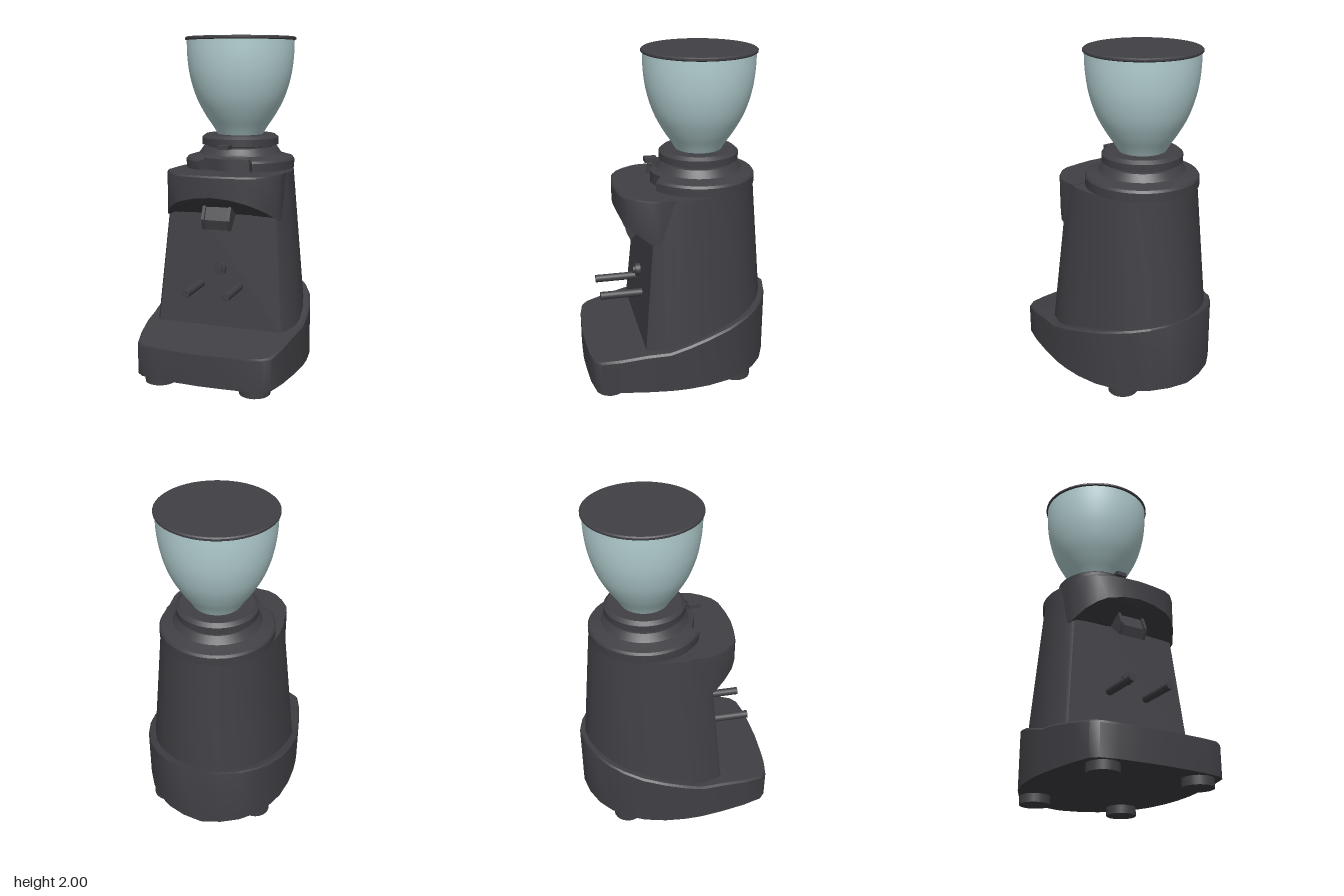
import * as THREE from 'three';
import { toCreasedNormals } from 'three/addons/utils/BufferGeometryUtils.js';

const V = (x, y, z) => new THREE.Vector3(x, y, z);

// Closed solid through rings of equal length, with fan caps at both ends
function loft(rings, crease = 0.6) {
  const n = rings[0].length, pos = [];
  let volume = 0;
  const tris = [];
  const tri = (a, b, c) => {
    tris.push([a, b, c]);
    volume += a.dot(b.clone().cross(c));
  };
  for (let i = 0; i < rings.length - 1; i++) {
    for (let j = 0; j < n; j++) {
      const k = (j + 1) % n;
      const a = rings[i][j], b = rings[i][k], c = rings[i + 1][k], d = rings[i + 1][j];
      tri(a, b, c);
      tri(a, c, d);
    }
  }
  const cap = (ring, flip) => {
    const mid = ring.reduce((s, p) => s.add(p), V(0, 0, 0)).divideScalar(n);
    ring.forEach((p, j) => {
      const q = ring[(j + 1) % n];
      flip ? tri(mid, q, p) : tri(mid, p, q);
    });
  };
  cap(rings[0], true);
  cap(rings[rings.length - 1], false);
  for (const [a, b, c] of tris) {
    const order = volume > 0 ? [a, b, c] : [a, c, b];
    for (const p of order) pos.push(p.x, p.y, p.z);
  }
  const g = new THREE.BufferGeometry();
  g.setAttribute('position', new THREE.Float32BufferAttribute(pos, 3));
  return toCreasedNormals(g, crease);
}

const lathe = (points, segments = 48) =>
  new THREE.LatheGeometry(points.map(([r, y]) => new THREE.Vector2(r, y)), segments);

// Side profile of (z, y) points given a width across x
function sideSlab(points, x0, x1) {
  return loft([x0, x1].map(x => points.map(([z, y]) => V(x, y, z))), 0.3);
}

// Linear lookup in a sorted list of [key, value]
function lookup(table, t) {
  for (let i = 1; i < table.length; i++) {
    const [a, va] = table[i - 1], [b, vb] = table[i];
    if (t <= b) return va + (vb - va) * Math.max(0, (t - a) / (b - a));
  }
  return table[table.length - 1][1];
}

export function createModel() {
  const model = new THREE.Group();
  const dark = new THREE.MeshStandardMaterial({ color: 0x404045 });
  dark.name = 'charcoal';
  const glass = new THREE.MeshStandardMaterial({ color: 0xb4d0d2, side: THREE.DoubleSide });
  glass.name = 'pale teal';
  const add = (name, geometry, x = 0, y = 0, z = 0, material = dark) => {
    const mesh = new THREE.Mesh(geometry, material);
    mesh.name = name;
    mesh.position.set(x, y, z);
    model.add(mesh);
    return mesh;
  };
  const axisZ = -0.15;

  // Base: half widths along z, with a top that climbs to the back
  const baseWidths = [[-0.585, 0.004], [-0.56, 0.12], [-0.51, 0.23], [-0.44, 0.315], [-0.36, 0.38],
    [-0.25, 0.435], [-0.12, 0.468], [0.0, 0.48], [0.08, 0.48], [0.12, 0.478], [0.25, 0.463],
    [0.4, 0.438], [0.52, 0.405], [0.555, 0.365], [0.574, 0.27], [0.582, 0.15], [0.588, 0.01]];
  const baseTop = [[-0.585, 0.485], [-0.36, 0.435], [-0.12, 0.375], [0.12, 0.305], [0.25, 0.295], [0.59, 0.235]];
  add('base', loft(baseWidths.map(([z, w]) => {
    const t = lookup(baseTop, z), b = Math.min(0.012, w * 0.3);
    return [[-w, 0.05], [w, 0.05], [w, t - b], [w - b, t], [b - w, t], [-w, t - b]].map(([x, y]) => V(x, y, z));
  })));

  // Feet
  for (const x of [-0.29, 0.29]) {
    for (const z of [0.457, -0.333]) {
      add('foot', new THREE.CylinderGeometry(0.09, 0.09, 0.06, 24), x, 0.03, z);
    }
  }

  // Tapered body, rounded behind and flat in front
  const half = [[0.11, -0.545], [0.21, -0.495], [0.3, -0.42], [0.365, -0.33], [0.415, -0.2],
    [0.443, -0.06], [0.45, 0.06], [0.436, 0.13], [0.4, 0.232], [0.385, 0.25]];
  const outline = [[0, -0.57], ...half, ...half.map(([x, z]) => [-x, z]).reverse()];
  add('body', loft([[0.28, 1], [1.21, 0.8]].map(([y, s]) =>
    outline.map(([x, z]) => V(x * s, y, -0.16 + (z + 0.16) * s)))));

  // Overhanging head with an arched lower rim: [x, front z, rim y]
  const headHalf = [[0.352, 0.15, 0.938], [0.342, 0.2, 0.95], [0.3, 0.27, 1.0], [0.25, 0.323, 1.035],
    [0.2, 0.35, 1.058], [0.1, 0.366, 1.082]];
  const head = [...headHalf.map(([x, z, y]) => [-x, z, y]), [0, 0.373, 1.09], ...headHalf.slice().reverse()];
  add('head', loft(head.map(([x, z, y]) => [
    V(x, 1.213, 0.05), V(x, 1.213, z - 0.008), V(x, 1.203, z), V(x, y, z), V(x, 0.938, 0.14), V(x, 0.938, 0.05),
  ])));

  // Spout: recessed channel between two cheeks
  const cheek = [[0.19, 1.08], [0.26, 1.07], [0.31, 0.95], [0.303, 0.925], [0.283, 0.885], [0.18, 0.98]];
  add('spoutChannel', sideSlab([[0.18, 1.08], [0.25, 1.06], [0.295, 0.945], [0.278, 0.887], [0.18, 0.975]], -0.075, 0.075));
  add('spoutCheek', sideSlab(cheek, -0.087, -0.07));
  add('spoutCheek', sideSlab(cheek, 0.07, 0.087));

  // Fork rods and start button
  for (const x of [-0.12, 0.12]) {
    add('forkRod', new THREE.CylinderGeometry(0.024, 0.024, 0.28, 20), x, 0.545, 0.34).rotation.x = Math.PI / 2;
  }
  add('buttonRing', new THREE.CylinderGeometry(0.037, 0.037, 0.04, 24), 0, 0.645, 0.225).rotation.x = Math.PI / 2;
  add('button', new THREE.CylinderGeometry(0.022, 0.022, 0.06, 24), 0, 0.645, 0.23).rotation.x = Math.PI / 2;

  // Collar with a scooped notch at the front
  const collar = lathe([[0, 1.211], [0.335, 1.211], [0.335, 1.262], [0.325, 1.276], [0.3, 1.283],
    [0.258, 1.296], [0.25, 1.306], [0.228, 1.338], [0, 1.338]], 72);
  const p = collar.attributes.position;
  for (let i = 0; i < p.count; i++) {
    const x = p.getX(i), limit = 0.272 + 0.02 * Math.cos(x * 20);
    if (Math.abs(x) < 0.15 && p.getZ(i) > limit) p.setZ(i, limit);
  }
  add('collar', toCreasedNormals(collar, 0.5), 0, 0, axisZ);

  // Adjusting ring and its lever
  add('adjustingRing', toCreasedNormals(lathe([[0, 1.33], [0.2, 1.33], [0.2, 1.346], [0.237, 1.352],
    [0.237, 1.394], [0.215, 1.413], [0, 1.413]]), 0.5), 0, 0, axisZ);
  add('leverStem', new THREE.BoxGeometry(0.02, 0.012, 0.1), 0, 1.354, 0.09);
  add('leverGrip', new THREE.BoxGeometry(0.066, 0.024, 0.075), 0, 1.355, 0.142);

  // Bean hopper and lid
  const wall = new THREE.SplineCurve([[0.135, 1.405], [0.165, 1.455], [0.215, 1.53], [0.268, 1.63], [0.306, 1.75],
    [0.324, 1.87], [0.328, 1.985]].map(([r, y]) => new THREE.Vector2(r, y)));
  add('hopper', new THREE.LatheGeometry(wall.getPoints(24), 48), 0, 0, axisZ, glass);
  add('lid', toCreasedNormals(lathe([[0, 1.979], [0.33, 1.979], [0.337, 1.984], [0.337, 1.994], [0.33, 2], [0, 2]]), 0.5), 0, 0, axisZ);

  return model;
}
